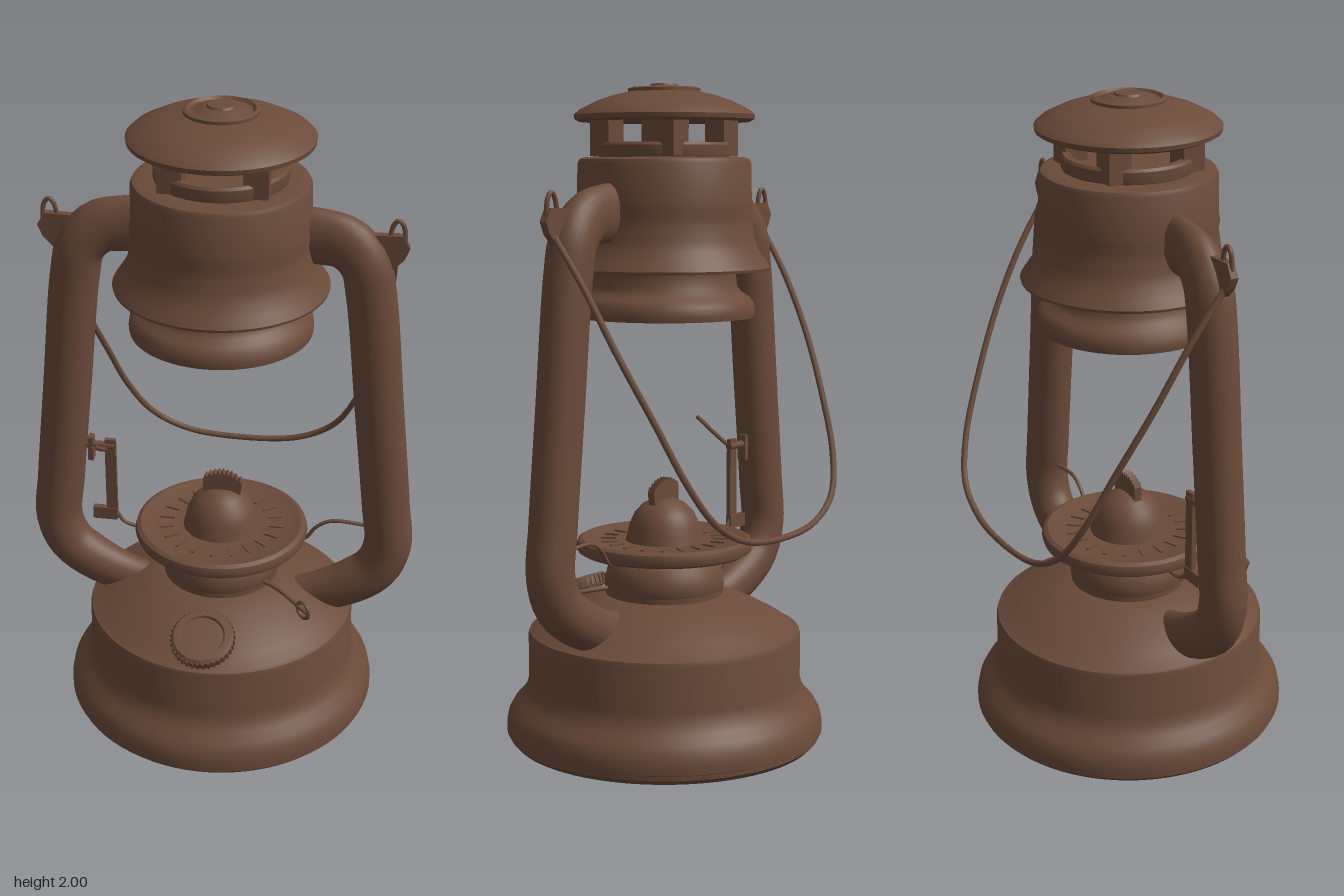
import * as THREE from 'three';
import { toCreasedNormals } from 'three/addons/utils/BufferGeometryUtils.js';
import { ParametricGeometry } from 'three/addons/geometries/ParametricGeometry.js';

const brown = new THREE.MeshStandardMaterial({ color: 0x6b4b3a, side: THREE.DoubleSide });
brown.name = 'weathered brown';

const v3 = (p) => new THREE.Vector3(...p);

function add(parent, name, geometry, pos = [0, 0, 0], rot = [0, 0, 0]) {
  const mesh = new THREE.Mesh(geometry, brown);
  mesh.name = name;
  mesh.position.set(...pos);
  mesh.rotation.set(...rot);
  parent.add(mesh);
  return mesh;
}

// Turned part from [radius, height] pairs, with crisp edges kept
function turned(profile, segments = 64) {
  const g = new THREE.LatheGeometry(profile.map(([r, y]) => new THREE.Vector2(r, y)), segments);
  return toCreasedNormals(g, 0.6);
}

function wire(points, radius, segments = 48, closed = false) {
  const curve = new THREE.CatmullRomCurve3(points.map(v3), closed);
  return new THREE.TubeGeometry(curve, segments, radius, 8, closed);
}

// Side air tube: an ellipse swept along a planar path, flattened at both ends
function airTube() {
  const path = new THREE.CatmullRomCurve3([
    [0.22, 0.395, 0], [0.31, 0.42, 0], [0.41, 0.468, 0], [0.485, 0.53, 0], [0.517, 0.62, 0],
    [0.505, 0.76, 0], [0.47, 1.1, 0], [0.432, 1.46, 0], [0.41, 1.555, 0],
    [0.355, 1.612, 0], [0.28, 1.627, 0], [0.2, 1.63, 0],
  ].map(v3));
  return new ParametricGeometry((u, v, target) => {
    const p = path.getPointAt(u), t = path.getTangentAt(u);
    const top = THREE.MathUtils.smoothstep(u, 0.82, 0.98);
    const foot = 1 - THREE.MathUtils.smoothstep(u, 0, 0.16);
    const a = 0.073 + 0.012 * top - 0.01 * foot;
    const b = 0.067 - 0.025 * top - 0.02 * foot;
    const c = Math.cos(v * Math.PI * 2) * a;
    target.set(p.x + t.y * c, p.y - t.x * c, Math.sin(v * Math.PI * 2) * b);
  }, 64, 28);
}

// One side: air tube, bail ear and the hooked wire end
function side(name) {
  const g = new THREE.Group();
  g.name = name;
  add(g, 'airTube', airTube());
  const ear = new THREE.Shape([
    [0.42, 1.645], [0.515, 1.648], [0.535, 1.61], [0.52, 1.575], [0.49, 1.545], [0.49, 1.49], [0.42, 1.49],
  ].map(([x, y]) => new THREE.Vector2(x, y)));
  add(g, 'bailEar', new THREE.ExtrudeGeometry(ear, { depth: 0.024, bevelEnabled: false }), [0, 0, -0.012]);
  add(g, 'bailHook', wire([
    [0.482, 1.58, 0], [0.478, 1.64, 0], [0.488, 1.68, 0], [0.5, 1.69, 0],
    [0.514, 1.675, 0], [0.52, 1.63, 0], [0.515, 1.58, 0], [0.495, 1.565, 0],
  ], 0.007, 40, true));
  return g;
}

export function createModel() {
  const lantern = new THREE.Group();
  lantern.name = 'lantern';

  // Fuel tank with flared foot
  add(lantern, 'fuelTank', turned([
    [0, 0.005], [0.22, 0.006], [0.36, 0.015], [0.46, 0.03], [0.474, 0.045], [0.474, 0.058], [0.482, 0.062],
    [0.482, 0.085], [0.476, 0.115], [0.462, 0.14], [0.438, 0.165], [0.422, 0.19], [0.414, 0.22],
    [0.414, 0.355], [0.41, 0.368], [0.4, 0.372], [0.36, 0.4], [0.3, 0.433], [0.24, 0.46], [0.2, 0.475],
    [0.178, 0.48], [0.178, 0.5], [0, 0.5],
  ], 80));

  // Burner: collar, pierced plate and dome
  add(lantern, 'burnerCollar', turned([
    [0.176, 0.49], [0.181, 0.505], [0.18, 0.53], [0.172, 0.56], [0.155, 0.585], [0.13, 0.6], [0.13, 0.62],
  ]));
  add(lantern, 'burnerPlate', turned([
    [0.12, 0.608], [0.25, 0.605], [0.262, 0.612], [0.267, 0.628], [0.262, 0.645], [0.25, 0.652],
    [0.235, 0.65], [0.22, 0.642], [0.1, 0.642],
  ]));
  add(lantern, 'burnerDome', turned([
    [0.118, 0.64], [0.112, 0.66], [0.106, 0.69], [0.09, 0.725], [0.065, 0.752], [0.035, 0.766], [0, 0.77],
  ], 40));
  const slots = new THREE.Group();
  slots.name = 'plateSlots';
  for (let i = 0; i < 20; i++) {
    const a = (i / 20) * Math.PI * 2;
    add(slots, 'plateSlot', new THREE.BoxGeometry(0.045, 0.006, 0.009),
      [Math.cos(a) * 0.17, 0.644, Math.sin(a) * 0.17], [0, -a, 0]);
  }
  lantern.add(slots);

  // Toothed wick
  const fan = new THREE.Shape();
  fan.moveTo(-0.055, 0.72);
  for (let i = 0; i <= 18; i++) {
    const x = -0.055 + (i / 18) * 0.12;
    fan.lineTo(x, 0.825 - 7 * x * x + (i % 2 ? 0.007 : -0.004));
  }
  fan.lineTo(0.055, 0.72);
  add(lantern, 'wick', new THREE.ExtrudeGeometry(fan, { depth: 0.024, bevelEnabled: false }), [0, 0, -0.012]);

  // Chimney: globe collar, bell hood and upper ring
  add(lantern, 'globeCollar', turned([
    [0.235, 1.325], [0.268, 1.32], [0.27, 1.335], [0.266, 1.362], [0.25, 1.38], [0.228, 1.393],
    [0.216, 1.41], [0.212, 1.45], [0.212, 1.56],
  ]));
  add(lantern, 'bellHood', turned([
    [0.212, 1.475], [0.29, 1.47], [0.312, 1.458], [0.314, 1.466], [0.298, 1.49], [0.278, 1.52], [0.267, 1.55],
    [0.262, 1.59], [0.258, 1.61], [0.262, 1.635], [0.258, 1.66], [0.256, 1.77], [0.25, 1.782], [0.235, 1.787],
    [0.19, 1.787], [0.192, 1.795], [0.192, 1.822], [0.186, 1.83], [0.165, 1.83], [0.16, 1.8], [0, 1.8],
  ], 72));

  // Four posts carrying the cap
  for (const x of [-1, 1]) for (const z of [-1, 1])
    add(lantern, 'capPost', new THREE.BoxGeometry(0.07, 0.13, 0.07), [x * 0.12, 1.855, z * 0.12]);
  add(lantern, 'rainCap', turned([
    [0, 1.9], [0.17, 1.9], [0.25, 1.89], [0.264, 1.897], [0.266, 1.91], [0.25, 1.925], [0.2, 1.95],
    [0.15, 1.967], [0.106, 1.977], [0.106, 1.986], [0.096, 1.99], [0.088, 1.982], [0.07, 1.984],
    [0.06, 1.992], [0.042, 1.994], [0.038, 2], [0, 2],
  ]));

  // Mirrored sides
  lantern.add(side('leftSide'));
  const right = side('rightSide');
  right.rotation.y = Math.PI;
  lantern.add(right);

  // Carrying bail hanging behind
  const half = [
    [0.495, 1.575, 0], [0.483, 1.43, -0.1], [0.46, 1.25, -0.2], [0.413, 1.06, -0.295],
    [0.365, 0.9, -0.365], [0.295, 0.785, -0.408], [0.18, 0.72, -0.425],
  ];
  const mirrored = half.map(([x, y, z]) => [-x, y, z]).reverse();
  add(lantern, 'bail', wire([...half, [0, 0.7, -0.431], ...mirrored], 0.0095, 120));

  // Knurled filler cap on the tank shoulder
  const filler = new THREE.Group();
  filler.name = 'fillerCap';
  filler.position.set(0, 0.447, 0.345);
  filler.rotation.x = 0.4;
  add(filler, 'fillerNeck', new THREE.CylinderGeometry(0.07, 0.07, 0.07, 32), [0, -0.04, 0]);
  add(filler, 'fillerLid', turned([
    [0, -0.02], [0.09, -0.02], [0.094, -0.012], [0.094, 0.012], [0.086, 0.02], [0.068, 0.021],
    [0.064, 0.014], [0, 0.017],
  ], 40));
  for (let i = 0; i < 36; i++) {
    const a = (i / 36) * Math.PI * 2;
    add(filler, 'knurl', new THREE.BoxGeometry(0.008, 0.026, 0.007),
      [Math.cos(a) * 0.094, 0, Math.sin(a) * 0.094], [0, -a, 0]);
  }
  lantern.add(filler);

  // Globe lifter beside the right tube
  const lifter = new THREE.Group();
  lifter.name = 'globeLifter';
  add(lifter, 'lifterBar', new THREE.BoxGeometry(0.034, 0.285, 0.014), [-0.345, 0.765, 0]);
  add(lifter, 'lifterFoot', new THREE.BoxGeometry(0.076, 0.04, 0.02), [-0.367, 0.642, 0]);
  add(lifter, 'lifterPlate', new THREE.BoxGeometry(0.016, 0.08, 0.03), [-0.405, 0.875, 0]);
  add(lifter, 'lifterPivot', new THREE.CylinderGeometry(0.012, 0.012, 0.12, 12), [-0.39, 0.885, 0], [0, 0, Math.PI / 2]);
  add(lifter, 'lifterLever', wire([[-0.36, 0.87, 0], [-0.36, 0.905, 0.06], [-0.36, 0.965, 0.148]], 0.007, 16));
  lantern.add(lifter);

  // Support wires either side of the burner
  add(lantern, 'rightSupportWire', wire([
    [-0.335, 0.655, 0], [-0.31, 0.615, 0], [-0.27, 0.6, 0], [-0.2, 0.603, 0], [-0.1, 0.606, 0],
  ], 0.006, 28));
  add(lantern, 'leftSupportWire', wire([
    [0.1, 0.606, 0], [0.2, 0.6, 0], [0.26, 0.61, 0], [0.295, 0.655, 0], [0.34, 0.682, 0], [0.46, 0.678, 0],
  ], 0.006, 28));

  // Wick winder with a wire loop
  add(lantern, 'winderRod', wire([[0.12, 0.505, 0.08], [0.2, 0.5, 0.13], [0.3, 0.48, 0.215]], 0.007, 16));
  add(lantern, 'winderLoop', new THREE.TorusGeometry(0.026, 0.006, 8, 28), [0.284, 0.482, 0.2], [0, -0.75, 0]);

  return lantern;
}
